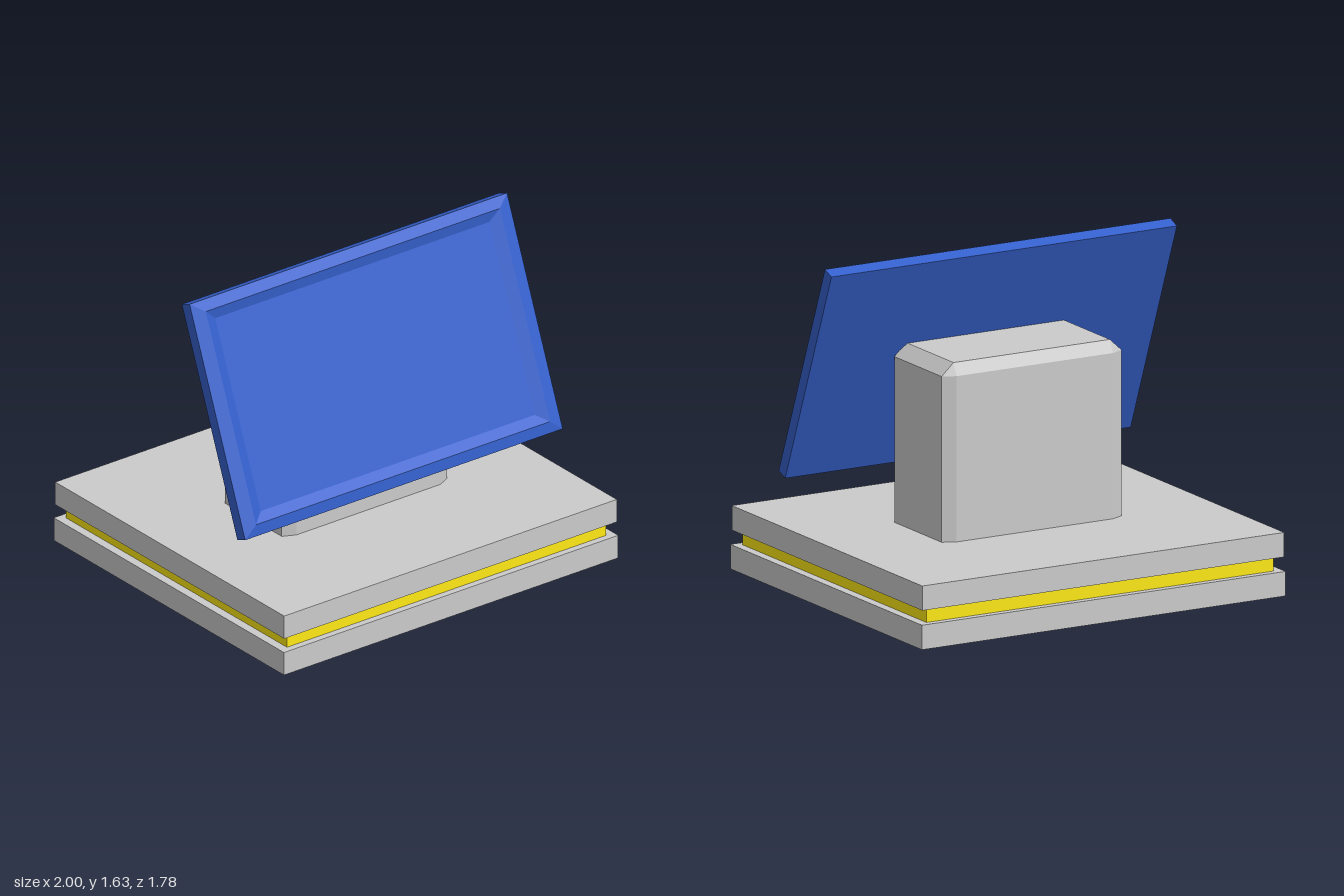
import * as THREE from 'three';
import { ConvexGeometry } from 'three/addons/geometries/ConvexGeometry.js';

const material = (color) => new THREE.MeshStandardMaterial({ color, flatShading: true });

// Box resting on height y0
function slab(name, w, d, y0, y1, mat) {
  const mesh = new THREE.Mesh(new THREE.BoxGeometry(w, y1 - y0, d), mat);
  mesh.position.y = (y0 + y1) / 2;
  mesh.name = name;
  return mesh;
}

// Pedestal block with bevelled upright corners and top edges
function pedestalGeometry() {
  const points = [];
  for (const sx of [-1, 1]) {
    for (const sz of [-1, 1]) {
      for (const y of [0.31, 1.12]) {
        points.push(new THREE.Vector3(sx * 0.495, y, sz * 0.22));
        points.push(new THREE.Vector3(sx * 0.43, y, sz * 0.25));
      }
      points.push(new THREE.Vector3(sx * 0.43, 1.18, sz * 0.22));
    }
  }
  return new ConvexGeometry(points);
}

// Rectangular rings [halfWidth, halfHeight, z] joined from back to front, both ends capped
function ringGeometry(rings) {
  const positions = [];
  const corners = rings.map(([w, h, z]) => [[-w, -h, z], [w, -h, z], [w, h, z], [-w, h, z]]);
  const quad = (a, b, c, d) => positions.push(...a, ...b, ...c, ...a, ...c, ...d);
  for (let i = 0; i < corners.length - 1; i++) {
    const a = corners[i], b = corners[i + 1];
    for (let k = 0; k < 4; k++) {
      const n = (k + 1) % 4;
      quad(a[k], a[n], b[n], b[k]);
    }
  }
  const back = corners[0], front = corners[corners.length - 1];
  quad(back[3], back[2], back[1], back[0]);
  quad(front[0], front[1], front[2], front[3]);
  const geometry = new THREE.BufferGeometry();
  geometry.setAttribute('position', new THREE.Float32BufferAttribute(positions, 3));
  geometry.computeVertexNormals();
  return geometry;
}

export function createModel() {
  const model = new THREE.Group();
  model.name = 'displayStand';
  const grey = material(0xcccccc);
  const yellow = material(0xffea16);
  const blue = material(0x3560cc);

  // Layered base
  model.add(slab('basePlate', 2, 1.78, 0, 0.12, grey));
  model.add(slab('glowStrip', 1.91, 1.71, 0.12, 0.19, yellow));
  model.add(slab('topPlate', 1.99, 1.77, 0.19, 0.31, grey));

  // Pedestal
  const pedestal = new THREE.Mesh(pedestalGeometry(), grey);
  pedestal.name = 'pedestal';
  model.add(pedestal);

  // Tilted screen: outer edge, raised rim, shallow recess
  const screen = new THREE.Mesh(ringGeometry([
    [0.95, 0.581, 0],
    [0.95, 0.581, 0.065],
    [0.88, 0.525, 0.08],
    [0.82, 0.475, 0.055],
  ]), blue);
  screen.name = 'screenPanel';
  screen.position.set(0, 1.07, 0.25);
  screen.rotation.x = -0.379;
  model.add(screen);

  return model;
}
